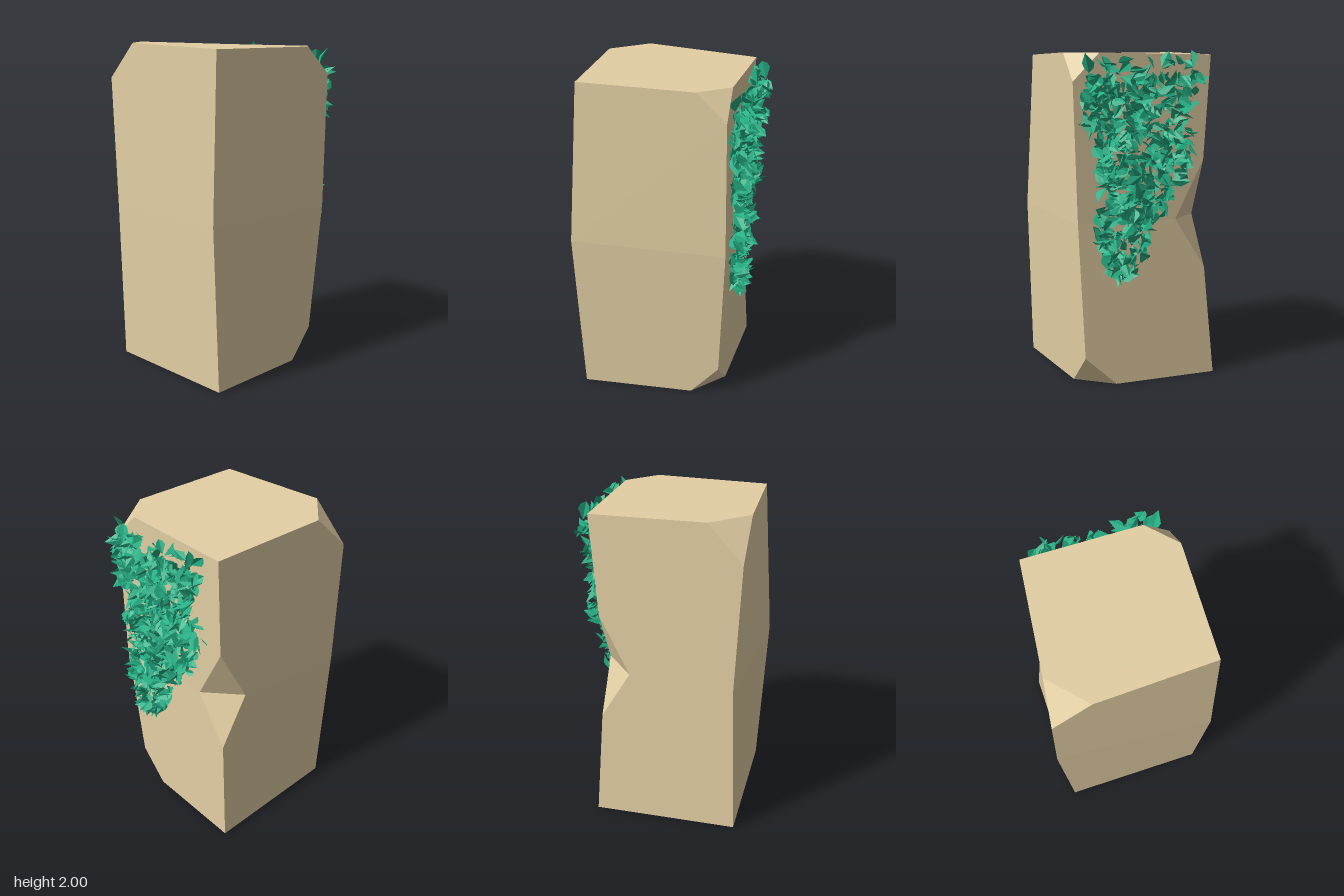
import * as THREE from 'three';
import { mergeGeometries } from 'three/addons/utils/BufferGeometryUtils.js';

// Named corners of the roughly hewn pillar (F/B = front/back, L/R = -x/+x)
const P = {
  // base, with the front right corner cut off
  baseFL: [-0.49, 0.005, 0.472], baseBL: [-0.505, 0, -0.425], baseBR: [0.385, 0, -0.445],
  baseCutR: [0.368, 0, 0.2], baseCutF: [0.19, 0, 0.412], baseCutUp: [0.36, 0.18, 0.395],
  // uneven waist, notched at the back right edge
  midFL: [-0.54, 1.0, 0.482], midFR: [0.4, 1.0, 0.45], midBL: [-0.487, 1.0, -0.493],
  notchR: [0.355, 0.985, -0.188], notchB: [0.168, 0.98, -0.39],
  notchTop: [0.355, 1.34, -0.372], notchLow: [0.352, 0.67, -0.39],
  // top, with the front right and back left corners cut off
  topFL: [-0.48, 1.975, 0.445], topBR: [0.39, 1.967, -0.395],
  topCutR: [0.39, 1.972, 0.31], topCutF: [0.22, 1.975, 0.47], topCutDown: [0.395, 1.81, 0.472],
  backCutL: [-0.52, 1.995, -0.26], backCutB: [-0.31, 1.995, -0.46], backCutDown: [-0.52, 1.78, -0.487],
};

const FACES = [
  'topFL topCutF topCutR topBR backCutB backCutL',
  'baseFL baseBL baseBR baseCutR baseCutF',
  'midFL midFR topCutDown topCutF topFL', 'midFR midFL baseFL baseCutF baseCutUp',
  'midFL topFL backCutL backCutDown midBL', 'midFL midBL baseBL baseFL',
  'notchB midBL backCutDown backCutB topBR notchTop', 'notchB notchLow baseBR baseBL midBL',
  'midFR notchR notchTop topBR topCutR topCutDown', 'midFR baseCutUp baseCutR baseBR notchLow notchR',
  'topCutF topCutDown topCutR', 'backCutL backCutB backCutDown', 'baseCutF baseCutR baseCutUp',
  'notchR notchTop notchB', 'notchR notchB notchLow',
];

// Fans every polygon into triangles facing away from the core, with one shared normal per polygon
function pillarGeometry() {
  const positions = [], normals = [];
  const core = new THREE.Vector3(-0.06, 1, 0);
  for (const face of FACES) {
    const v = face.split(' ').map((n) => new THREE.Vector3(...P[n]));
    const normal = new THREE.Vector3();
    v.forEach((p, i) => normal.add(p.clone().cross(v[(i + 1) % v.length])));
    if (normal.dot(v[0].clone().sub(core)) < 0) {
      v.push(...v.splice(1).reverse());
      normal.negate();
    }
    normal.normalize();
    for (let i = 1; i < v.length - 1; i++) {
      for (const p of [v[0], v[i], v[i + 1]]) {
        positions.push(p.x, p.y, p.z);
        normals.push(normal.x, normal.y, normal.z);
      }
    }
  }
  const g = new THREE.BufferGeometry();
  g.setAttribute('position', new THREE.Float32BufferAttribute(positions, 3));
  g.setAttribute('normal', new THREE.Float32BufferAttribute(normals, 3));
  return g;
}

function seeded(seed) {
  return () => {
    seed = (seed * 1664525 + 1013904223) >>> 0;
    return seed / 4294967296;
  };
}

// One pointed leaf along +y, folded on its midrib and curled at the tip
function leafGeometry() {
  const outline = [[0, 0], [0.24, 0.2], [0.31, 0.45], [0, 1], [-0.31, 0.45], [-0.24, 0.2]];
  const g = new THREE.BufferGeometry();
  g.setAttribute('position', new THREE.Float32BufferAttribute(
    outline.flatMap(([x, y]) => [x, y, Math.abs(x) * 0.4 - y * y * 0.12]), 3));
  g.setIndex([0, 1, 2, 0, 2, 3, 0, 3, 4, 0, 4, 5]);
  return g;
}

// Outline of the hanging ivy: y, rear z limit, front z limit
const IVY = [[0.65, 0.13, 0.24], [0.75, 0.05, 0.28], [0.95, 0, 0.35], [1.1, -0.14, 0.35],
  [1.25, -0.19, 0.32], [1.4, -0.26, 0.35], [1.55, -0.24, 0.41], [1.65, -0.23, 0.41],
  [1.8, -0.31, 0.44], [1.94, -0.34, 0.41]];

// Right wall of the pillar, which sinks in toward the back of the waist
const wallX = (y, z) => 0.39 + (1 - Math.abs(y - 1)) * (0.064 * z - 0.022);

function ivyGeometry() {
  const rnd = seeded(29);
  const between = (a, b) => a + (b - a) * rnd();
  const leaf = leafGeometry();
  const leaves = [];
  while (leaves.length < 640) {
    const y = between(0.65, 1.94), z = between(-0.34, 0.44);
    const k = IVY.findIndex((r) => r[0] >= y);
    const [a, b] = [IVY[k - 1], IVY[k]];
    const t = (y - a[0]) / (b[0] - a[0]);
    if (z < a[1] + (b[1] - a[1]) * t || z > a[2] + (b[2] - a[2]) * t) continue;
    // thinner growth along the upper rim
    if (y > 1.84 && rnd() < 0.45) continue;
    // leaves point outward, mostly drooping, with a random twist
    const dir = new THREE.Vector3(between(-0.15, 0.8), between(-1, 0.75), between(-0.9, 0.9)).normalize();
    const normal = new THREE.Vector3(between(-0.8, 0.8), between(-0.8, 0.8), between(-1, 1)).cross(dir).normalize();
    const across = dir.clone().cross(normal).normalize();
    const size = between(0.065, 0.12);
    const m = new THREE.Matrix4().makeBasis(across, dir, normal).scale(new THREE.Vector3(size, size, size));
    const x = Math.min(wallX(y, z) + between(0.005, 0.075), 0.525 - dir.x * size);
    m.setPosition(x, y - dir.y * size * 0.45, z - dir.z * size * 0.45);
    leaves.push(leaf.clone().applyMatrix4(m));
  }
  const g = mergeGeometries(leaves).toNonIndexed();
  g.computeVertexNormals();
  return g;
}

export function createModel() {
  const model = new THREE.Group();
  model.name = 'ivyCoveredPillar';

  const pillar = new THREE.Mesh(pillarGeometry(), new THREE.MeshStandardMaterial({ color: 0xe3cfa4 }));
  pillar.name = 'stonePillar';

  const ivy = new THREE.Mesh(ivyGeometry(),
    new THREE.MeshStandardMaterial({ color: 0x25b085, flatShading: true, side: THREE.DoubleSide }));
  ivy.name = 'ivyLeaves';

  model.add(pillar, ivy);
  return model;
}
